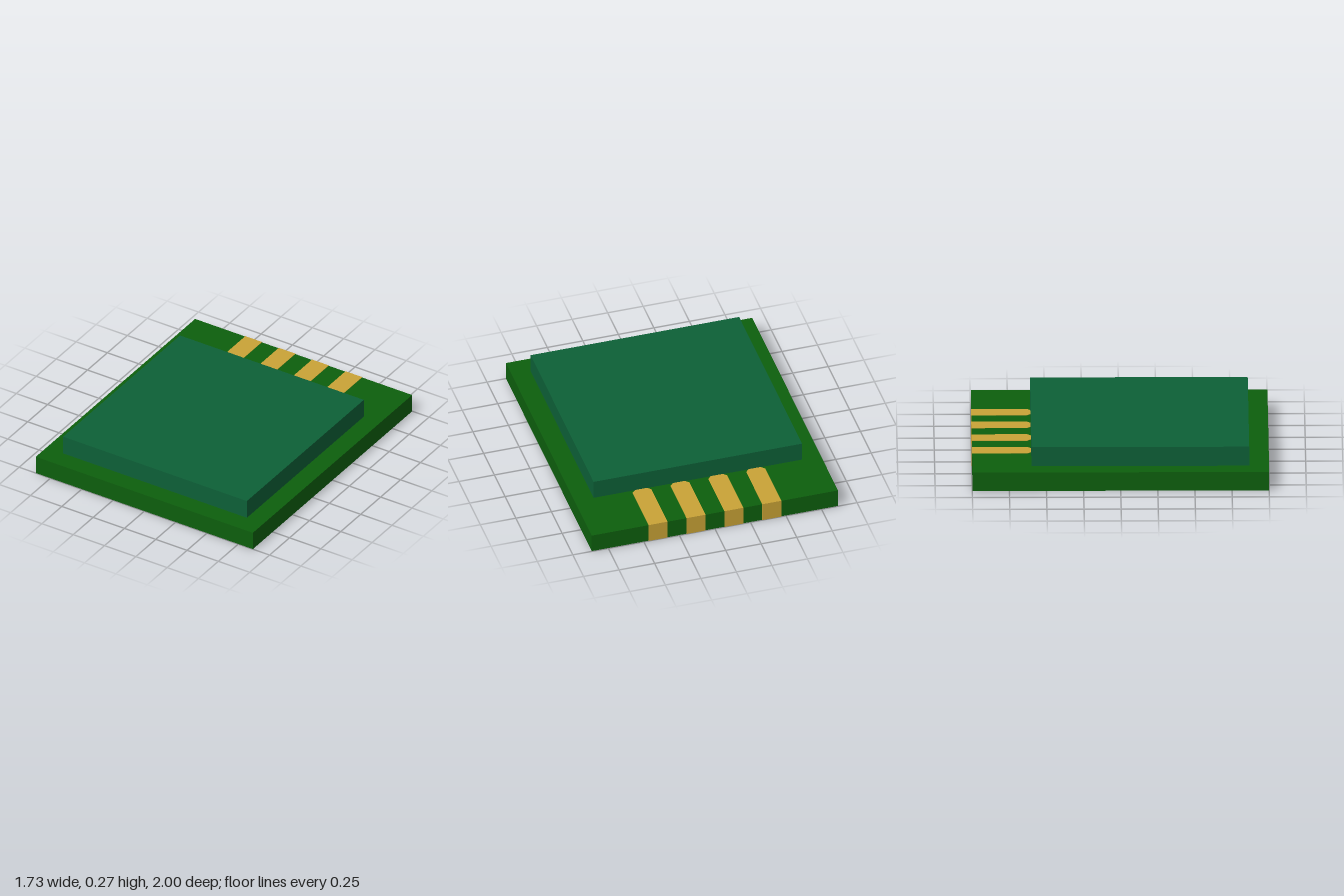
import * as THREE from 'three';

export function createModel() {
  const model = new THREE.Group();
  const boardGreen = new THREE.MeshStandardMaterial({ name: 'boardGreen', color: 0x0d5f0d });
  const chipGreen = new THREE.MeshStandardMaterial({ name: 'chipGreen', color: 0x0d6037 });
  const gold = new THREE.MeshStandardMaterial({ name: 'gold', color: 0xc9a336 });
  const LIP = 0.002; // how far the contacts stand proud of the board

  const add = (name, geometry, material, x, y, z) => {
    const mesh = new THREE.Mesh(geometry, material);
    mesh.name = name;
    mesh.position.set(x, y, z);
    model.add(mesh);
  };

  // Base board and the raised block on top of it
  add('board', new THREE.BoxGeometry(1.733, 0.133 - LIP, 2 - LIP), boardGreen, 0, 0.0665, LIP / 2);
  add('chip', new THREE.BoxGeometry(1.467, 0.135, 1.467), chipGreen, 0, 0.1995, 0.133);

  // Gold contacts wrapping the back edge, with clipped inner corners
  const w = 0.0667, inner = 0.6, clip = 0.025;
  const outline = new THREE.Shape([
    [-w, 1], [-w, inner + clip], [-w + clip, inner],
    [w - clip, inner], [w, inner + clip], [w, 1],
  ].map(([x, y]) => new THREE.Vector2(x, y)));
  const contact = new THREE.ExtrudeGeometry(outline, { depth: 0.133 + LIP / 2, bevelEnabled: false });
  contact.rotateX(-Math.PI / 2); // back edge now lies at z = -1
  [-0.4, -0.133, 0.133, 0.4].forEach((x, i) => add(`contact${i + 1}`, contact, gold, x, 0, 0));

  return model;
}
